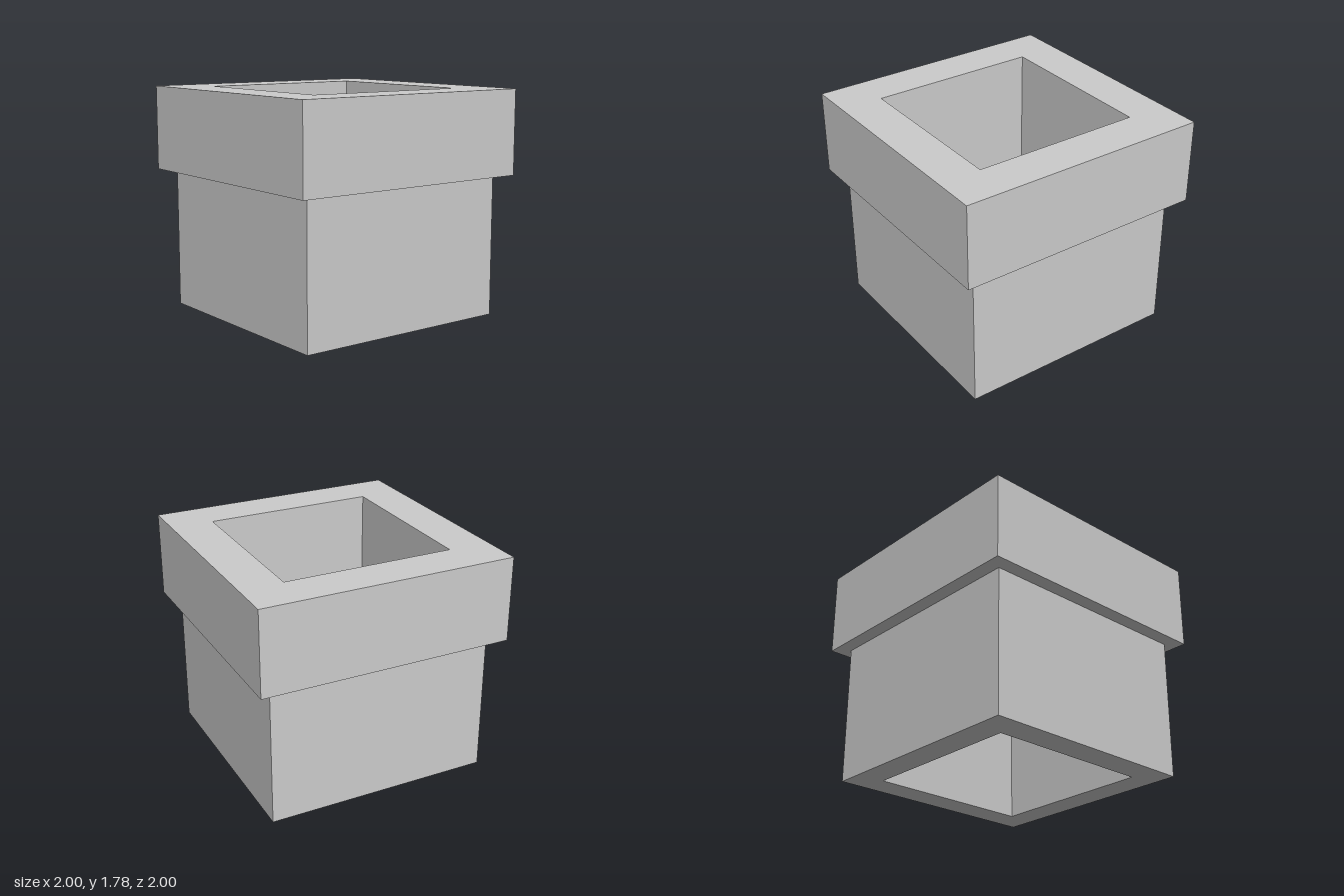
import * as THREE from 'three';

const INNER = 0.667, BODY = 0.889, RIM = 1; // half-widths
const LEDGE = 1.111, TOP = 1.778; // heights

// Sweeps a [halfWidth, y] profile around a square plan.
function squareSweep(name, profile) {
  const points = profile.map(([w, y]) => new THREE.Vector2(w * Math.SQRT2, y));
  const geometry = new THREE.LatheGeometry(points, 4, Math.PI / 4).toNonIndexed();
  geometry.computeVertexNormals();
  const material = new THREE.MeshStandardMaterial({ color: 0xcccccc, flatShading: true });
  const mesh = new THREE.Mesh(geometry, material);
  mesh.name = name;
  return mesh;
}

export function createModel() {
  const group = new THREE.Group();
  group.name = 'squarePlanter';

  // Lower body: inner wall, underside and outer wall
  group.add(squareSweep('body', [[INNER, LEDGE], [INNER, 0], [BODY, 0], [BODY, LEDGE]]));

  // Overhanging rim: ledge, outer wall, top face and inner wall
  group.add(squareSweep('rim', [[BODY, LEDGE], [RIM, LEDGE], [RIM, TOP], [INNER, TOP], [INNER, LEDGE]]));

  return group;
}
